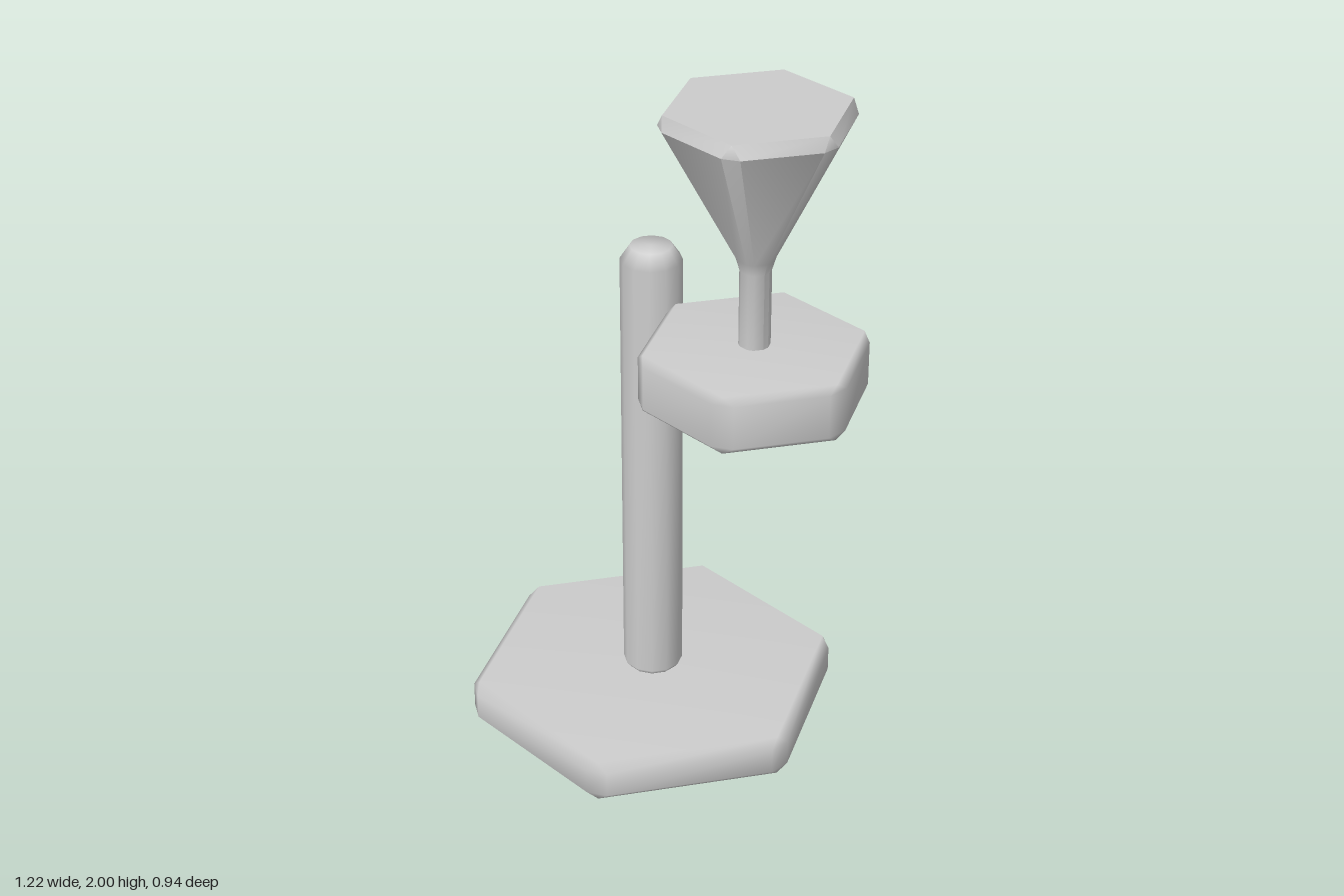
import * as THREE from 'three';
import { mergeVertices, toCreasedNormals } from 'three/addons/utils/BufferGeometryUtils.js';

// Hexagon with corners on the x axis, each corner cut back by `cut` along its edges
function hexRing(apothem, cut) {
  const R = apothem / Math.cos(Math.PI / 6);
  const corner = (i) => new THREE.Vector2(Math.cos(i * Math.PI / 3), Math.sin(i * Math.PI / 3)).multiplyScalar(R);
  const points = [];
  for (let i = 0; i < 6; i++) {
    const c = corner(i);
    points.push(c.clone().lerp(corner(i - 1), cut / R), c.clone().lerp(corner(i + 1), cut / R));
  }
  return points;
}

// Regular polygon with flats facing the axes
function roundRing(radius, sides = 12) {
  return Array.from({ length: sides }, (_, i) => {
    const a = (i + 0.5) * 2 * Math.PI / sides;
    return new THREE.Vector2(Math.cos(a) * radius, Math.sin(a) * radius);
  });
}

// Closed solid through [height, ring] sections, listed from bottom to top
function loft(sections) {
  const n = sections[0][1].length, pos = [], index = [];
  for (const [y, ring] of sections) for (const p of ring) pos.push(p.x, y, p.y);
  const last = (sections.length - 1) * n;
  const bottom = pos.length / 3, top = bottom + 1;
  pos.push(0, sections[0][0], 0, 0, sections[sections.length - 1][0], 0);
  for (let j = 0; j < n; j++) {
    const k = (j + 1) % n;
    for (let s = 0; s < last; s += n) {
      index.push(s + j, s + n + j, s + k, s + k, s + n + j, s + n + k);
    }
    index.push(bottom, j, k, top, last + k, last + j);
  }
  const g = new THREE.BufferGeometry();
  g.setAttribute('position', new THREE.Float32BufferAttribute(pos, 3));
  g.setIndex(index);
  const merged = mergeVertices(g, 1e-5);
  merged.computeVertexNormals();
  return merged;
}

// Hexagonal slab with bevelled edges and corners
function slab(y0, y1, apothem, cut, bevel) {
  const inner = hexRing(apothem - bevel, 0), outer = hexRing(apothem, cut);
  return loft([[y0, inner], [y0 + bevel, outer], [y1 - bevel, outer], [y1, inner]]);
}

export function createModel() {
  const model = new THREE.Group();
  model.name = 'hexagonalStand';
  const grey = new THREE.MeshStandardMaterial({ color: 0xcccccc });
  grey.name = 'light grey';

  const add = (name, geometry, x) => {
    const mesh = new THREE.Mesh(geometry, grey);
    mesh.name = name;
    mesh.position.x = x;
    model.add(mesh);
  };

  // Foot and upright
  add('base', slab(0, 0.125, 0.47, 0.035, 0.025), -0.09);
  add('pole', loft([
    [0.12, roundRing(0.07)], [0.14, roundRing(0.085)],
    [1.435, roundRing(0.085)], [1.475, roundRing(0.058)],
  ]), -0.09);

  // Side shelf carrying the goblet
  add('shelf', slab(1.172, 1.335, 0.278, 0.035, 0.02), 0.305);

  // Stem flaring into a solid hexagonal cone with a bevelled rim
  add('goblet', toCreasedNormals(loft([
    [1.32, hexRing(0.04, 0.01)], [1.55, hexRing(0.04, 0.01)], [1.585, hexRing(0.05, 0.012)],
    [1.965, hexRing(0.23, 0.028)], [2, hexRing(0.212, 0)],
  ]), 0.75), 0.305);

  return model;
}
